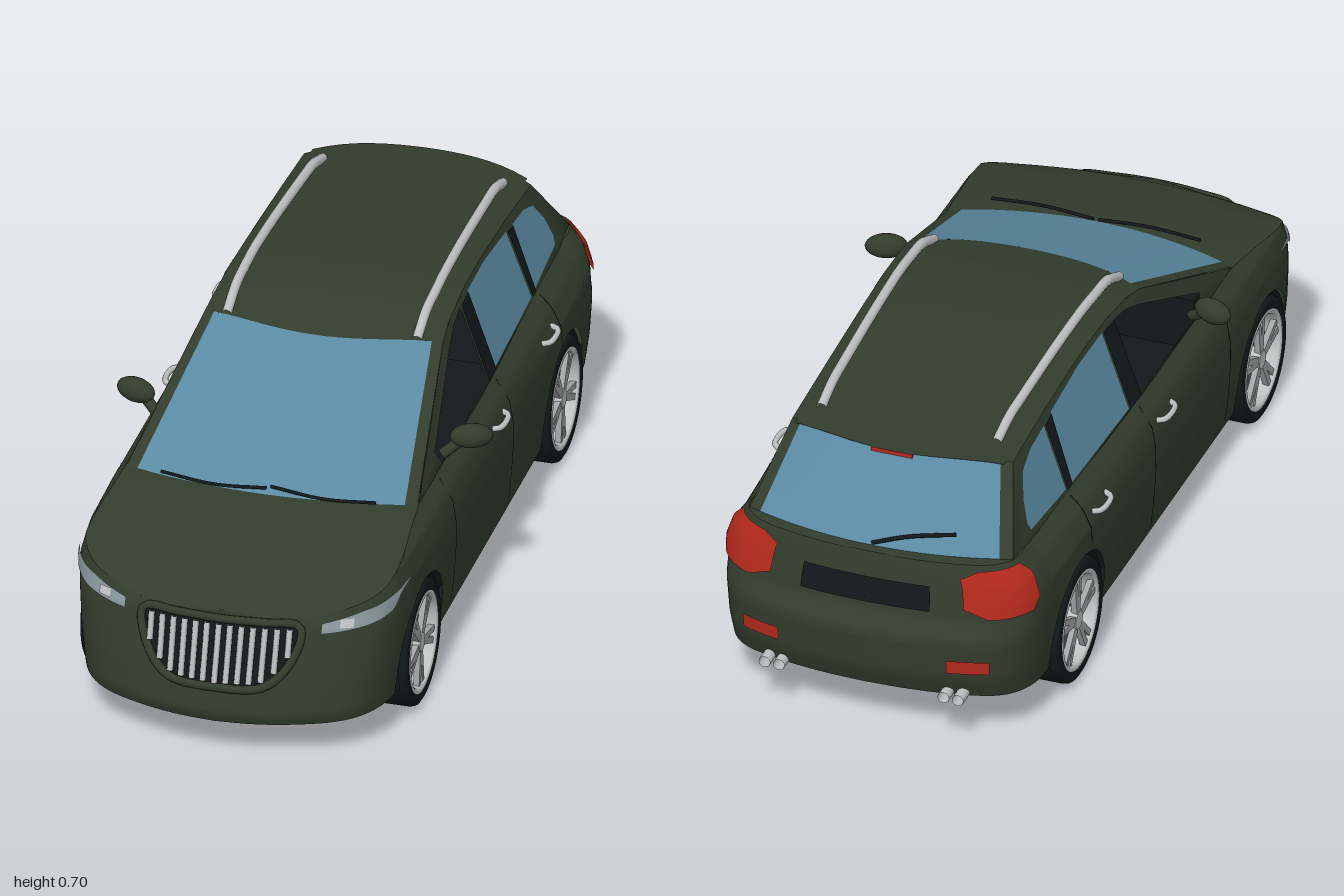
import * as THREE from 'three';

const mat = (name, color) => new THREE.MeshStandardMaterial({ name, color, side: THREE.DoubleSide });
const V = (x, y, z) => new THREE.Vector3(x, y, z);
const lerp = THREE.MathUtils.lerp;
const clamp = THREE.MathUtils.clamp;

// Linear interpolation in a short ascending table of [input, output]
function tab(t, x) {
  if (x <= t[0][0]) return t[0][1];
  for (let i = 1; i < t.length; i++)
    if (x <= t[i][0]) return lerp(t[i - 1][1], t[i][1], (x - t[i - 1][0]) / (t[i][0] - t[i - 1][0]));
  return t[t.length - 1][1];
}

// Plan outline of the half body: s 0..1 nose, 1..2 side, 2..3 tail
const planCurve = p => new THREE.CatmullRomCurve3(p.map(([x, z]) => V(x, 0, z)));
const NOSE = planCurve([[0, 1], [0.1, 0.99], [0.2, 0.962], [0.28, 0.925], [0.335, 0.875], [0.365, 0.82], [0.378, 0.77]]);
const TAIL = planCurve([[0.383, -0.755], [0.378, -0.83], [0.355, -0.895], [0.31, -0.94], [0.2, -0.975], [0.1, -0.99], [0, -0.995]]);
const SIDE = [[-0.755, 0.383], [-0.6, 0.388], [0.5, 0.39], [0.7, 0.386], [0.77, 0.378]];
const sOf = z => 1 + (0.77 - z) / 1.525;
function plan(s) {
  if (s <= 1) return NOSE.getPoint(clamp(s, 0, 1));
  if (s >= 2) return TAIL.getPoint(clamp(s - 2, 0, 1));
  const z = 0.77 - (s - 1) * 1.525;
  return V(tab(SIDE, z), 0, z);
}

// Height-dependent profiles
const WIDTH = [[0.1, 0.96], [0.2, 0.99], [0.3, 1.005], [0.37, 1], [0.42, 0.965], [0.455, 0.888]];
const NOSE_Z = [[0.1, 0.99], [0.125, 1], [0.2, 0.985], [0.33, 0.945], [0.36, 0.925], [0.42, 0.9], [0.46, 0.88]];
const TAIL_Z = [[0.12, 0.96], [0.18, 0.985], [0.28, 0.995], [0.325, 0.965], [0.45, 0.937], [0.5, 0.92]];
const TOP = [[-1, 0.46], [-0.9, 0.46], [-0.755, 0.455], [0.5, 0.455], [0.6, 0.443], [0.77, 0.418], [0.82, 0.405],
  [0.875, 0.388], [0.925, 0.37], [0.962, 0.352], [1, 0.345]];
const BOTTOM = [[-1, 0.13], [-0.75, 0.12], [-0.4, 0.11], [0.7, 0.11], [0.9, 0.1]];
const HOOD = [[0.45, 0.468], [0.52, 0.468], [0.7, 0.445], [0.85, 0.405], [0.93, 0.36]];
const ROOF = [[-0.77, 0.645], [-0.5, 0.67], [-0.35, 0.68], [-0.25, 0.685], [-0.12, 0.686], [0, 0.675], [0.13, 0.645]];
const WHEEL_Z = [0.6, -0.585], WHEEL_Y = 0.155, ARCH = 0.165;

const taper = z => 1 - 0.09 * Math.max(0, -0.09 - z);
const sideX = (y, z) => (0.345 - (y - 0.455) * 0.35) * taper(z);

// Point on the body wall; negative s gives the right-hand side
function body(s, y, off = 0) {
  const a = Math.abs(s), p = plan(a), q = plan(a - 0.01), r = plan(a + 0.01);
  const t = r.sub(q).normalize();
  const k = p.z > -0.75 ? taper(p.z) : Math.min(1, 0.94 + (-0.75 - p.z) * 0.45);
  let x = p.x * tab(WIDTH, y) * lerp(1, k, clamp((y - 0.37) / 0.085, 0, 1)), z = p.z;
  if (z > 0.77) z = 0.77 + (z - 0.77) * (tab(NOSE_Z, y) - 0.77) / 0.23;
  if (z < -0.755) z = -0.755 + (z + 0.755) * (tab(TAIL_Z, y) - 0.755) / 0.24;
  x -= t.z * off;
  z += t.x * off;
  return V(s < 0 ? -x : x, y, z);
}
const topY = s => tab(TOP, plan(Math.abs(s)).z);
function inArch(z) { return WHEEL_Z.find(c => Math.abs(z - c) <= ARCH + 1e-6); }
function bottomY(s) {
  const z = plan(Math.abs(s)).z, c = inArch(z);
  return c === undefined ? tab(BOTTOM, z) : WHEEL_Y + Math.sqrt(Math.max(0, ARCH * ARCH - (z - c) ** 2));
}

// Smooth surface from a grid rule f(u, v), u and v in 0..1
function gridGeo(nu, nv, f) {
  const pos = [], idx = [];
  for (let i = 0; i <= nu; i++) for (let j = 0; j <= nv; j++) pos.push(...f(i / nu, j / nv).toArray());
  for (let i = 0; i < nu; i++) for (let j = 0; j < nv; j++) {
    const a = i * (nv + 1) + j, b = a + nv + 1;
    idx.push(a, b, a + 1, b, b + 1, a + 1);
  }
  const g = new THREE.BufferGeometry();
  g.setAttribute('position', new THREE.Float32BufferAttribute(pos, 3));
  g.setIndex(idx);
  g.computeVertexNormals();
  return g;
}

export function createModel() {
  const M = {
    paint: mat('dark green paint', 0x323d2d), glass: mat('blue glass', 0x5b8aa3), black: mat('black trim', 0x12181a),
    silver: mat('silver', 0xbfc2c2), red: mat('red lamp', 0xb52a1c), lamp: mat('headlamp glass', 0x87959a),
    rim: mat('rim grey', 0xa2a4a5), dark: mat('dark grey', 0x54585a),
  };
  const car = new THREE.Group();
  car.name = 'car';
  const add = (name, geo, m, parent = car) => {
    const mesh = new THREE.Mesh(geo, m);
    mesh.name = name;
    parent.add(mesh);
    return mesh;
  };
  const grid = (name, m, nu, nv, f) => add(name, gridGeo(nu, nv, f), m);
  const box = (name, m, w, h, d, x, y, z, parent) => {
    const b = add(name, new THREE.BoxGeometry(w, h, d), m, parent);
    b.position.set(x, y, z);
    return b;
  };
  const tube = (name, m, pts, r, closed = false, sides = 8) =>
    add(name, new THREE.TubeGeometry(new THREE.CatmullRomCurve3(pts, closed), pts.length > 2 ? pts.length * 6 : 1, r, sides, closed), m);
  // Thin plate following the body wall between two height curves
  const patch = (name, m, s0, s1, lo, hi, off = 0.006, n = 16) =>
    grid(name, m, n, 6, (u, v) => { const s = lerp(s0, s1, u); return body(s, lerp(lo(s), hi(s), v), off); });

  // Lower body wall with wheel arches
  let st = [];
  for (let i = 0; i <= 24; i++) st.push(i / 24, 2 + i / 24);
  for (let z = -0.35; z < 0.4; z += 0.1) st.push(sOf(z));
  for (const c of WHEEL_Z) {
    for (let i = 0; i <= 20; i++) st.push(sOf(c + ARCH * Math.cos(i * Math.PI / 20)));
    st.push(sOf(c + ARCH + 0.002), sOf(c - ARCH - 0.002));
  }
  st = st.sort((a, b) => a - b).filter((s, i, a) => i === 0 || s - a[i - 1] > 1e-5);
  const all = [...st.slice(1).reverse().map(s => -s), ...st];
  grid('bodyWall', M.paint, all.length - 1, 22, (u, v) => {
    const s = all[Math.round(u * (all.length - 1))];
    return body(s, lerp(bottomY(s), topY(s), v));
  });
  grid('underbody', M.black, st.length - 1, 2, (u, v) => {
    const s = st[Math.round(u * (st.length - 1))], p = body(s, tab(BOTTOM, plan(s).z));
    return V((inArch(p.z) === undefined ? p.x : 0.24) * (v * 2 - 1), p.y + 0.002, p.z);
  });

  // Hood and rear deck span the wall's top edge
  const deck = (name, s0, s1, crown) => grid(name, M.paint, 36, 20, (u, v) => {
    const e = body(lerp(s0, s1, u), topY(lerp(s0, s1, u))), w = v * 2 - 1;
    return V(e.x * w, e.y + Math.max(0, crown(e.z) - e.y) * (1 - w * w), e.z);
  });
  deck('hood', 0, sOf(0.45), z => tab(HOOD, z));
  deck('rearDeck', 2, 3, () => 0.462);

  // Roof, windscreens and pillars
  const roofPoint = (u, z) => {
    const y = tab(ROOF, z) - 0.022 * u ** 4;
    return V(u * sideX(y, z), y, z);
  };
  const frontTop = u => roofPoint(u, 0.13 - 0.06 * u * u), rearTop = u => roofPoint(u, -0.77 + 0.06 * u * u);
  const frontBase = u => V(u * 0.345, 0.46 - 0.008 * u * u, 0.57 - 0.06 * u * u);
  const rearBase = u => V(u * sideX(0.452, -0.855), 0.452, -0.915 + 0.06 * u * u);
  grid('roof', M.paint, 24, 40, (a, v) => {
    const u = a * 2 - 1;
    return roofPoint(u, lerp(frontTop(u).z, rearTop(u).z, v));
  });
  const screen = (name, m, u0, u1, base, top) =>
    grid(name, m, 16, 8, (a, v) => { const u = lerp(u0, u1, a); return base(u).lerp(top(u), v); });
  screen('windscreen', M.glass, -0.92, 0.92, frontBase, frontTop);
  screen('rearWindow', M.glass, -0.91, 0.91, rearBase, rearTop);
  box('highBrakeLamp', M.red, 0.1, 0.01, 0.012, 0, 0.637, -0.776);
  grid('spoiler', M.paint, 16, 2, (a, v) => {
    const u = (a * 2 - 1) * 0.95;
    return rearTop(u).add(V(0, 0.002 - v * 0.003, 0.02 - v * 0.035));
  });

  // Side frames: front opening is unglazed
  const windows = [
    [[0.3, 0.458], [0.32, 0.49], [0.05, 0.61], [-0.02, 0.635], [-0.085, 0.645], [-0.085, 0.458]],
    [[-0.155, 0.46], [-0.155, 0.65], [-0.3, 0.648], [-0.48, 0.63], [-0.495, 0.46]],
    [[-0.53, 0.462], [-0.53, 0.622], [-0.62, 0.612], [-0.68, 0.592], [-0.72, 0.54], [-0.737, 0.49], [-0.73, 0.47]],
  ];
  const outline = [[0.51, 0.45]];
  for (let i = 0; i <= 20; i++) { const p = roofPoint(1, lerp(0.07, -0.71, i / 20)); outline.push([p.z, p.y]); }
  outline.push([-0.855, 0.45]);
  const shape = pts => new THREE.Shape(pts.map(p => new THREE.Vector2(...p)));
  const sidePanel = (name, m, sh, sign, off = 0) => {
    const g = new THREE.ShapeGeometry(sh), p = g.attributes.position;
    for (let i = 0; i < p.count; i++) {
      const z = p.getX(i), y = p.getY(i);
      p.setXYZ(i, sign * (sideX(y, z) + off), y, z);
    }
    g.computeVertexNormals();
    add(name, g, m);
  };

  for (const sign of [1, -1]) {
    const side = sign > 0 ? 'left' : 'right';
    const frame = shape(outline);
    frame.holes = windows.map(shape);
    sidePanel(side + 'WindowFrame', M.paint, frame, sign);
    sidePanel(side + 'RearDoorGlass', M.glass, shape(windows[1]), sign);
    sidePanel(side + 'QuarterGlass', M.glass, shape(windows[2]), sign);
    sidePanel(side + 'CentrePillar', M.black, shape([[-0.088, 0.458], [-0.088, 0.648], [-0.152, 0.65], [-0.152, 0.458]]), sign, 0.003);
    sidePanel(side + 'RearPillar', M.black, shape([[-0.498, 0.46], [-0.485, 0.628], [-0.527, 0.622], [-0.527, 0.46]]), sign, 0.003);
    screen(side + 'FrontPillar', M.paint, sign * 0.92, sign, frontBase, frontTop);
    screen(side + 'TailPillar', M.paint, sign * 0.91, sign, rearBase, rearTop);

    // Lamps
    const LO = [[0.39, 0.32], [0.5, 0.325], [0.7, 0.335], [0.85, 0.347], [1.04, 0.383]];
    const HI = [[0.39, 0.343], [0.6, 0.366], [0.85, 0.382], [1.04, 0.387]];
    const abs = t => s => tab(t, Math.abs(s));
    patch(side + 'Headlamp', M.lamp, sign * 0.39, sign * 1.04, abs(LO), abs(HI));
    patch(side + 'HeadlampBulb', M.silver, sign * 0.47, sign * 0.54, () => 0.333, () => 0.352, 0.009, 4);
    patch(side + 'TailLamp', M.red, sign * 2.21, sign * 2.62,
      abs([[2.21, 0.37], [2.26, 0.342], [2.54, 0.337], [2.62, 0.36]]), abs([[2.21, 0.43], [2.26, 0.452], [2.54, 0.45], [2.62, 0.43]]), 0.008);
    patch(side + 'BumperReflector', M.red, sign * 2.52, sign * 2.66, () => 0.2, () => 0.235, 0.005, 6);
    patch(side + 'NumberPlateRecess', M.black, sign * 2.74, sign * 3, () => 0.345, () => 0.405, 0.004, 8);

    // Door seams and handles
    for (const [z, y0] of [[0.36, 0.13], [-0.12, 0.13], [-0.53, 0.33]])
      patch(side + 'DoorSeam', M.black, sign * (sOf(z) - 0.0013), sign * (sOf(z) + 0.0013), () => y0, () => 0.45, 0.004, 1);
    for (const z of [-0.035, -0.45])
      tube(side + 'DoorHandle', M.silver, [-0.045, -0.03, 0.03, 0.045].map((d, i) =>
        V(sign * (i % 3 ? 0.397 : 0.378), 0.393, z + d)), 0.007);

    // Mirror
    const mirror = add(side + 'Mirror', new THREE.SphereGeometry(1, 16, 10), M.paint);
    mirror.scale.set(0.05, 0.029, 0.028);
    mirror.position.set(sign * 0.397, 0.502, 0.24);
    mirror.rotation.y = sign * 0.35;
    tube(side + 'MirrorArm', M.paint, [V(sign * 0.335, 0.46, 0.27), V(sign * 0.375, 0.49, 0.245)], 0.013);

    // Roof rail
    const rail = [];
    for (let i = 0; i <= 10; i++) {
      const z = lerp(0.09, -0.67, i / 10);
      rail.push(V(sign * 0.225 * taper(z), tab(ROOF, z) + (i % 10 ? 0.008 : -0.008), z));
    }
    tube(side + 'RoofRail', M.silver, rail, 0.012);

    // Exhaust
    box(side + 'Muffler', M.rim, 0.11, 0.035, 0.08, sign * 0.2, 0.118, -0.83);
    for (const x of [0.2, 0.235]) {
      const tip = add(side + 'ExhaustTip', new THREE.CylinderGeometry(0.014, 0.014, 0.1, 12, 1, true), M.silver);
      tip.rotation.x = Math.PI / 2;
      tip.position.set(sign * x, 0.138, -0.93);
    }

    // Wheels and arch liners
    for (const zc of WHEEL_Z) {
      const end = zc > 0 ? 'Front' : 'Rear';
      grid(side + end + 'ArchLiner', M.black, 24, 1, (u, v) => V(sign * lerp(0.24, 0.374, v),
        WHEEL_Y + ARCH * Math.sin(lerp(-0.27, Math.PI + 0.27, u)), zc + ARCH * Math.cos(lerp(-0.27, Math.PI + 0.27, u))));
      const inner = add(side + end + 'ArchInner', new THREE.CircleGeometry(ARCH, 24, -0.27, Math.PI + 0.54), M.black);
      inner.rotation.y = Math.PI / 2;
      inner.position.set(sign * 0.24, WHEEL_Y, zc);

      const wheel = new THREE.Group();
      wheel.name = side + end + 'Wheel';
      const lathe = (name, m, pts) => add(name, new THREE.LatheGeometry(pts.map(p => new THREE.Vector2(...p)), 40), m, wheel);
      lathe('tyre', M.black, [[0.113, -0.04], [0.138, -0.045], [0.147, -0.04], [0.15, -0.03], [0.15, 0.03], [0.147, 0.04], [0.138, 0.045], [0.12, 0.043]]);
      lathe('rim', M.silver, [[0.123, 0.042], [0.115, 0.045], [0.108, 0.04], [0.104, 0.015], [0.104, -0.04]]);
      add('brakeDisc', new THREE.CylinderGeometry(0.104, 0.104, 0.012, 32), M.dark, wheel);
      add('hub', new THREE.CylinderGeometry(0.022, 0.028, 0.03, 20), M.silver, wheel).position.y = 0.025;
      for (let i = 0; i < 5; i++) for (const d of [-0.13, 0.13]) {
        const spoke = new THREE.Group();
        spoke.name = 'spoke';
        spoke.rotation.y = i * Math.PI * 0.4 + d;
        box('spokeBar', M.rim, 0.095, 0.014, 0.015, 0.064, 0.031, 0, spoke);
        wheel.add(spoke);
      }
      wheel.position.set(sign * 0.343, WHEEL_Y, zc);
      wheel.rotation.z = -sign * Math.PI / 2;
      car.add(wheel);
    }
  }

  // Grille
  const low = x => tab([[0, 0.195], [0.1, 0.2], [0.15, 0.24], [0.178, 0.31]], Math.abs(x));
  patch('grilleBacking', M.black, -0.3, 0.3, s => low(s * 0.6), () => 0.337, 0.005, 32);
  for (let i = -6; i <= 6; i++) {
    const x = i * 0.0265;
    tube('grilleSlat', M.silver, [body(x / 0.6, low(x) + 0.006, 0.01), body(x / 0.6, 0.333, 0.01)], 0.0075, false, 6);
  }
  const half = [[0.1, 0.342], [0.182, 0.336], [0.17, 0.26], [0.115, 0.199]];
  const ring = [[0, 0.342], ...half, [0, 0.19], ...half.map(([x, y]) => [-x, y]).reverse()];
  tube('grilleSurround', M.paint, ring.map(([x, y]) => body(x / 0.6, y, 0.006)), 0.01, true);

  // Wipers
  for (const x of [-0.12, 0.14])
    tube('frontWiper', M.black, [V(x + 0.12, 0.474, 0.555), V(x, 0.473, 0.568), V(x - 0.13, 0.477, 0.55)], 0.004);
  tube('rearWiper', M.black, [V(0, 0.47, -0.91), V(-0.08, 0.492, -0.89), V(-0.19, 0.51, -0.87)], 0.005);

  // Cabin interior and running gear
  box('cabinFloor', M.black, 0.66, 0.2, 0.84, 0, 0.215, 0.005);
  box('dashboard', M.black, 0.62, 0.13, 0.1, 0, 0.38, 0.4);
  box('frontSubframe', M.dark, 0.42, 0.03, 0.12, 0, 0.11, 0.58);
  for (const z of WHEEL_Z) box('axle', M.dark, 0.6, 0.03, 0.035, 0, 0.14, z);
  box('rearSubframe', M.rim, 0.36, 0.025, 0.09, 0, 0.112, -0.52);
  return car;
}
